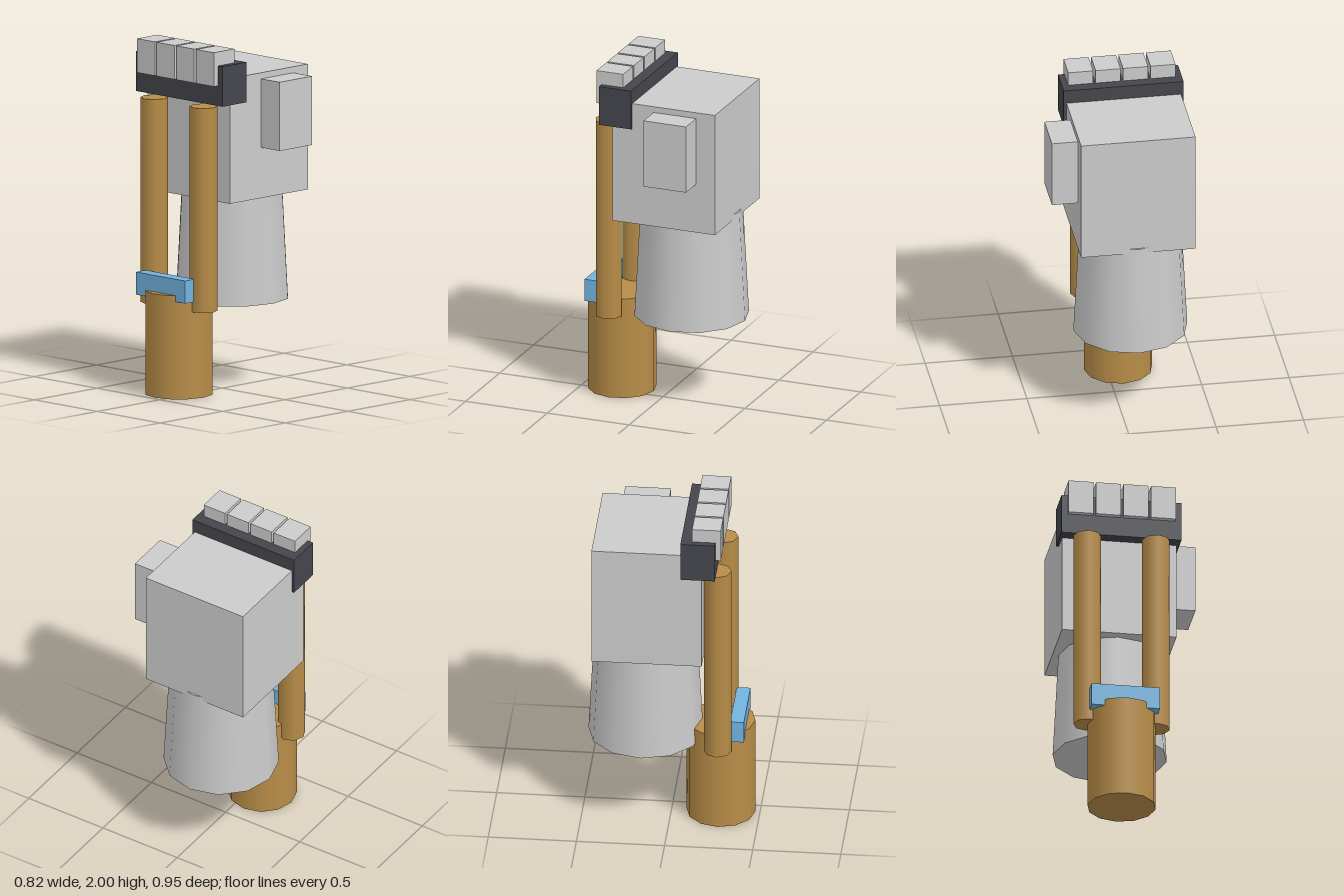
import * as THREE from 'three';

const material = (color) => new THREE.MeshStandardMaterial({ color });

export function createModel() {
  const model = new THREE.Group();
  const grey = material(0xcccccc);
  const dark = material(0x45464c);
  const wood = material(0xb88d48);
  const blue = material(0x72b4e0);

  const add = (name, geometry, mat, x, y, z) => {
    const mesh = new THREE.Mesh(geometry, mat);
    mesh.name = name;
    mesh.position.set(x, y, z);
    model.add(mesh);
  };
  // Box given by its extents on each axis
  const box = (name, mat, [x0, x1], [y0, y1], [z0, z1]) =>
    add(name, new THREE.BoxGeometry(x1 - x0, y1 - y0, z1 - z0), mat,
      (x0 + x1) / 2, (y0 + y1) / 2, (z0 + z1) / 2);
  // Upright cylinder or cone between two heights
  const post = (name, mat, rTop, rBottom, sides, x, [y0, y1], z) =>
    add(name, new THREE.CylinderGeometry(rTop, rBottom, y1 - y0, sides), mat,
      x, (y0 + y1) / 2, z);

  const cx = -0.067;

  // Palm block, thumb and tapered wrist
  box('palm', grey, [-0.395, 0.26], [1.12, 1.84], [-0.425, 0.2]);
  box('thumb', grey, [0.26, 0.408], [1.41, 1.805], [-0.31, -0.05]);
  post('wrist', grey, 0.292, 0.326, 12, cx, [0.5, 1.15], -0.147);

  // Knuckle bar with four fingers
  box('knuckleBar', dark, [-0.41, 0.276], [1.69, 1.92], [0.081, 0.276]);
  for (let i = 0; i < 4; i++) {
    const x = -0.374 + i * 0.157;
    box('finger' + (i + 1), grey, [x, x + 0.143], [1.805, 2], [0.144, 0.307]);
  }

  // Twin posts on a thick handle
  for (const side of [-1, 1]) {
    post(side < 0 ? 'rightPost' : 'leftPost', wood, 0.079, 0.079, 8,
      cx + side * 0.196, [0.5, 1.675], 0.279);
  }
  post('handle', wood, 0.195, 0.195, 12, cx, [0, 0.595], 0.279);

  // Cross band in front of the posts
  box('band', blue, [-0.262, 0.129], [0.56, 0.69], [0.349, 0.427]);

  return model;
}
